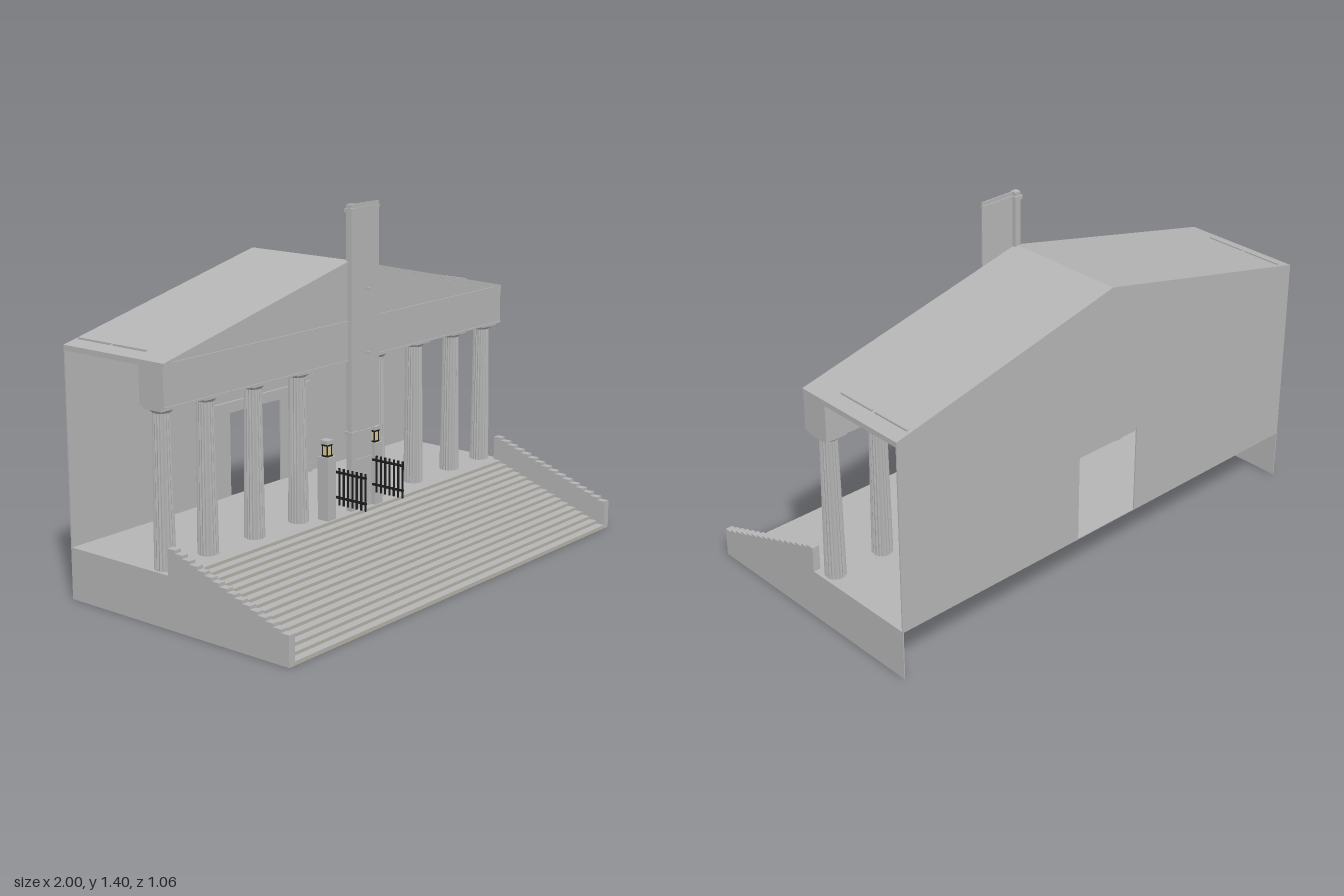
import * as THREE from 'three';

const mat = (name, color, side = THREE.FrontSide) => {
  const m = new THREE.MeshStandardMaterial({ color, side });
  m.name = name;
  return m;
};

export function createModel() {
  const model = new THREE.Group();
  model.name = 'templeFront';
  const stone = mat('stone grey', 0xb4b4b4, THREE.DoubleSide);
  const riserStone = mat('warm riser stone', 0xb4b0a6, THREE.DoubleSide);
  const iron = mat('black iron', 0x1c1c1c);
  const glass = mat('lamp glass', 0xd9c79a);

  const add = (name, geo, m = stone, parent = model) => {
    const mesh = new THREE.Mesh(geo, m);
    mesh.name = name;
    parent.add(mesh);
    return mesh;
  };
  // box given by its low and high corners
  const box = (name, x0, x1, y0, y1, z0, z1, m = stone, parent = model) => {
    const mesh = add(name, new THREE.BoxGeometry(x1 - x0, y1 - y0, z1 - z0), m, parent);
    mesh.position.set((x0 + x1) / 2, (y0 + y1) / 2, (z0 + z1) / 2);
    return mesh;
  };
  const outline = (pts) => new THREE.Shape(pts.map(([x, y]) => new THREE.Vector2(x, y)));

  // open-bottomed stairs and their stepped side walls
  const STEPS = 16, FRONT = 0.53, TOP = -0.03, FLOOR = 0.2;
  const run = (FRONT - TOP) / STEPS, rise = (FLOOR - 0.015) / (STEPS - 1);
  const stairs = new THREE.Group();
  stairs.name = 'stairs';
  model.add(stairs);
  const cheek = [[FRONT, 0]];
  for (let i = 0; i < STEPS; i++) {
    const y = 0.015 + i * rise, z = FRONT - i * run;
    const tread = add('tread', new THREE.PlaneGeometry(1.94, run), stone, stairs);
    tread.rotation.x = -Math.PI / 2;
    tread.position.set(0, y, z - run / 2);
    const h = i ? rise : 0.015;
    const riser = add('riser', new THREE.PlaneGeometry(1.94, h), riserStone, stairs);
    riser.position.set(0, y - h / 2, z);
    cheek.push([z, y + 0.1], [z - run, y + 0.1]);
  }
  cheek.push([TOP, 0]);
  const cheekGeo = new THREE.ExtrudeGeometry(outline(cheek), { depth: 0.03, bevelEnabled: false });
  cheekGeo.rotateY(-Math.PI / 2); // profile z stays on z, thickness runs towards -x
  for (const s of [-1, 1]) {
    add('stairSideWall', cheekGeo).position.x = s > 0 ? 1 : -0.97;
    box('baseSideWall', s * 0.998 - 0.002, s * 0.998 + 0.002, 0, FLOOR, -0.53, TOP);
  }
  box('porchFloor', -1, 1, FLOOR - 0.004, FLOOR, -0.53, TOP);

  // rear wall with its doorway
  const wall = outline([[-1, FLOOR], [-0.15, FLOOR], [-0.15, 0.56], [0.15, 0.56], [0.15, FLOOR],
    [1, FLOOR], [1, 0.955], [0, 1.185], [-1, 0.955]]);
  add('rearWall', new THREE.ExtrudeGeometry(wall, { depth: 0.005, bevelEnabled: false })).position.z = -0.53;

  // door surround in two stepped layers, under a cornice
  const surround = (half, top, width, z) => {
    for (const s of [-1, 1]) {
      const x = s * (half - width / 2);
      box('doorJamb', x - width / 2, x + width / 2, FLOOR, top, -0.526, z);
    }
    box('doorHead', -half, half, top - width, top, -0.526, z);
  };
  surround(0.33, 0.59, 0.03, -0.514);
  surround(0.31, 0.575, 0.03, -0.518);
  for (const s of [-1, 1]) box('jambBase', s * 0.315 - 0.02, s * 0.315 + 0.02, FLOOR, 0.235, -0.526, -0.512);
  box('doorCornice', -0.33, 0.33, 0.61, 0.62, -0.526, -0.51);
  box('doorCorniceTop', -0.345, 0.345, 0.62, 0.635, -0.526, -0.5);

  // fluted columns
  const flutes = 20, H = 0.57;
  let shaft = new THREE.CylinderGeometry(0.033, 0.04, H, flutes * 2, 1);
  const p = shaft.attributes.position;
  for (let i = 0; i < p.count; i++) {
    const x = p.getX(i), z = p.getZ(i);
    const k = Math.round(Math.atan2(z, x) / (Math.PI / flutes));
    const f = Math.abs(k) % 2 ? 0.91 : 1;
    p.setX(i, x * f);
    p.setZ(i, z * f);
  }
  shaft = shaft.toNonIndexed();
  shaft.computeVertexNormals();
  const echinus = new THREE.CylinderGeometry(0.046, 0.033, 0.013, 24);
  for (const s of [-1, 1]) for (const x of [0.235, 0.483, 0.732, 0.95]) {
    const column = new THREE.Group();
    column.name = 'column';
    column.position.set(s * x, FLOOR, -0.094);
    add('shaft', shaft, stone, column).position.y = H / 2;
    add('echinus', echinus, stone, column).position.y = H + 0.0065;
    box('abacus', -0.046, 0.046, H + 0.013, 0.595, -0.046, 0.046, stone, column);
    model.add(column);
  }

  // entablature, gabled roof and pediment mouldings
  box('entablature', -1, 1, 0.795, 0.94, -0.15, -0.032);
  box('architraveBand', -1, 1, 0.795, 0.802, -0.04, -0.028);
  box('cornice', -1, 1, 0.937, 0.955, -0.05, -0.028);
  const gable = outline([[-1, 0.937], [1, 0.937], [1, 0.957], [0, 1.187], [-1, 0.957]]);
  add('roof', new THREE.ExtrudeGeometry(gable, { depth: 0.497, bevelEnabled: false })).position.z = -0.53;
  const rake = outline([[-1, 0.957], [-1, 0.945], [0, 1.175], [1, 0.945], [1, 0.957], [0, 1.187]]);
  add('rakingCornice', new THREE.ExtrudeGeometry(rake, { depth: 0.01, bevelEnabled: false })).position.z = -0.038;
  for (const s of [-1, 1]) for (const z of [-0.515, -0.335]) {
    box('roofRail', s * 0.94 - 0.004, s * 0.94 + 0.004, 0.96, 0.977, z, z + 0.165);
  }

  // flagpole and long hanging banner
  box('flagpole', -0.013, 0.013, FLOOR, 1.4, -0.04, -0.014);
  for (const y of [1.37, 0.505]) box('poleCollar', -0.018, 0.018, y, y + 0.015, -0.046, -0.008);
  box('banner', 0.013, 0.163, 0.505, 1.4, -0.025, -0.021);
  box('bannerTopRod', 0.013, 0.163, 1.375, 1.385, -0.029, -0.017);
  box('bannerBottomRod', 0.013, 0.163, 0.505, 0.513, -0.029, -0.017);
  box('lowerPanel', 0.013, 0.12, FLOOR, 0.505, -0.025, -0.021);
  box('panelRail', 0.013, 0.12, 0.396, 0.402, -0.029, -0.017);
  for (const y of [0.82, 1.07]) box('bannerPeg', 0.078, 0.084, y - 0.003, y + 0.003, -0.021, 0.003);

  // gate posts with lamps, and the open iron gates
  for (const s of [-1, 1]) {
    const gate = new THREE.Group();
    gate.name = s > 0 ? 'leftGate' : 'rightGate';
    model.add(gate);
    const x = s * 0.143;
    box('gatePost', x - 0.024, x + 0.024, FLOOR, 0.45, -0.055, -0.003, stone, gate);
    box('lampFoot', x - 0.016, x + 0.016, 0.45, 0.456, -0.043, -0.012, iron, gate);
    box('lampGlass', x - 0.012, x + 0.012, 0.456, 0.492, -0.04, -0.016, glass, gate);
    for (const dx of [-1, 1]) for (const dz of [-1, 1]) {
      const cx = x + dx * 0.012, cz = -0.028 + dz * 0.012;
      box('lampBar', cx - 0.002, cx + 0.002, 0.456, 0.492, cz - 0.002, cz + 0.002, iron, gate);
    }
    box('lampRim', x - 0.015, x + 0.015, 0.492, 0.5, -0.043, -0.013, iron, gate);
    box('lampCap', x - 0.019, x + 0.019, 0.5, 0.515, -0.047, -0.009, stone, gate);
    const gx = s * 0.114;
    for (let i = 0; i < 7; i++) {
      const z = 0.138 - i * 0.0215;
      box('gateBar', gx - 0.003, gx + 0.003, 0.255, 0.403, z - 0.003, z + 0.003, iron, gate);
    }
    for (const y of [0.285, 0.385]) box('gateRail', gx - 0.004, gx + 0.004, y - 0.004, y + 0.004, -0.01, 0.141, iron, gate);
  }
  return model;
}
